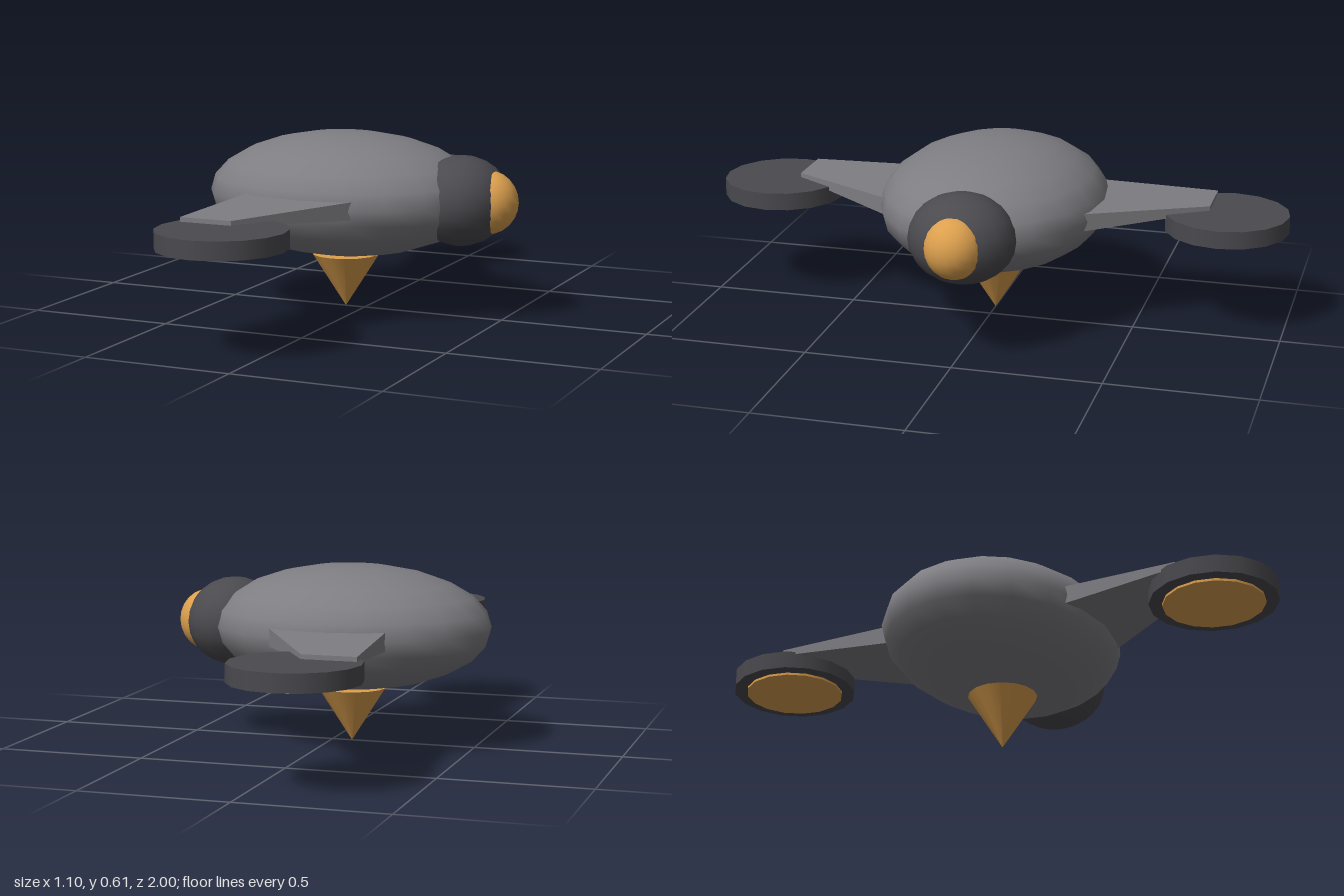
import * as THREE from 'three';

const material = (name, color) => {
  const m = new THREE.MeshStandardMaterial({ color });
  m.name = name;
  return m;
};

export function createModel() {
  const grey = material('hull grey', 0x7d7d82);
  const dark = material('dark grey', 0x4a4a4f);
  const amber = material('amber', 0xdca04e);

  const model = new THREE.Group();
  model.name = 'drone';

  const add = (name, geometry, mat, x, y, z) => {
    const mesh = new THREE.Mesh(geometry, mat);
    mesh.name = name;
    mesh.position.set(x, y, z);
    model.add(mesh);
    return mesh;
  };
  const ellipsoid = (rx, ry, rz, w, h) => new THREE.SphereGeometry(1, w, h).scale(rx, ry, rz);

  // Hull, nose collar and glowing nose
  add('hull', ellipsoid(0.48, 0.211, 0.387, 20, 12), grey, -0.07, 0.396, 0);
  add('noseCollar', ellipsoid(0.16, 0.151, 0.18, 20, 12), dark, 0.355, 0.396, 0);
  add('noseLamp', ellipsoid(0.1, 0.106, 0.1, 20, 12), amber, 0.45, 0.396, 0);

  // Downward spike under the hull
  const spike = new THREE.ConeGeometry(0.117, 0.185, 16).rotateX(Math.PI);
  add('bellySpike', spike, amber, -0.07, 0.0925, 0);

  // Tapered wing: a box whose ends are reshaped into root and tip sections
  const wingGeometry = (side) => {
    const root = { z: 0.25, back: -0.277, front: 0.168, low: 0.36, high: 0.43 };
    const tip = { z: 0.73, back: -0.31, front: -0.13, low: 0.39, high: 0.41 };
    const geometry = new THREE.BoxGeometry(1, 1, 1);
    const p = geometry.attributes.position;
    for (let i = 0; i < p.count; i++) {
      const s = p.getZ(i) * side > 0 ? tip : root;
      p.setXYZ(i, p.getX(i) > 0 ? s.front : s.back, p.getY(i) > 0 ? s.high : s.low, s.z * side);
    }
    geometry.computeVertexNormals();
    return geometry;
  };

  // Wings with a rotor pod and glowing underside disc at each tip
  for (const side of [1, -1]) {
    const label = side > 0 ? 'front' : 'back';
    add(label + 'Wing', wingGeometry(side), grey, 0, 0, 0);
    add(label + 'Pod', new THREE.CylinderGeometry(0.211, 0.211, 0.06, 16), dark, -0.131, 0.365, side * 0.789);
    add(label + 'PodGlow', new THREE.CylinderGeometry(0.167, 0.167, 0.009, 16), amber, -0.131, 0.3315, side * 0.789);
  }

  return model;
}
